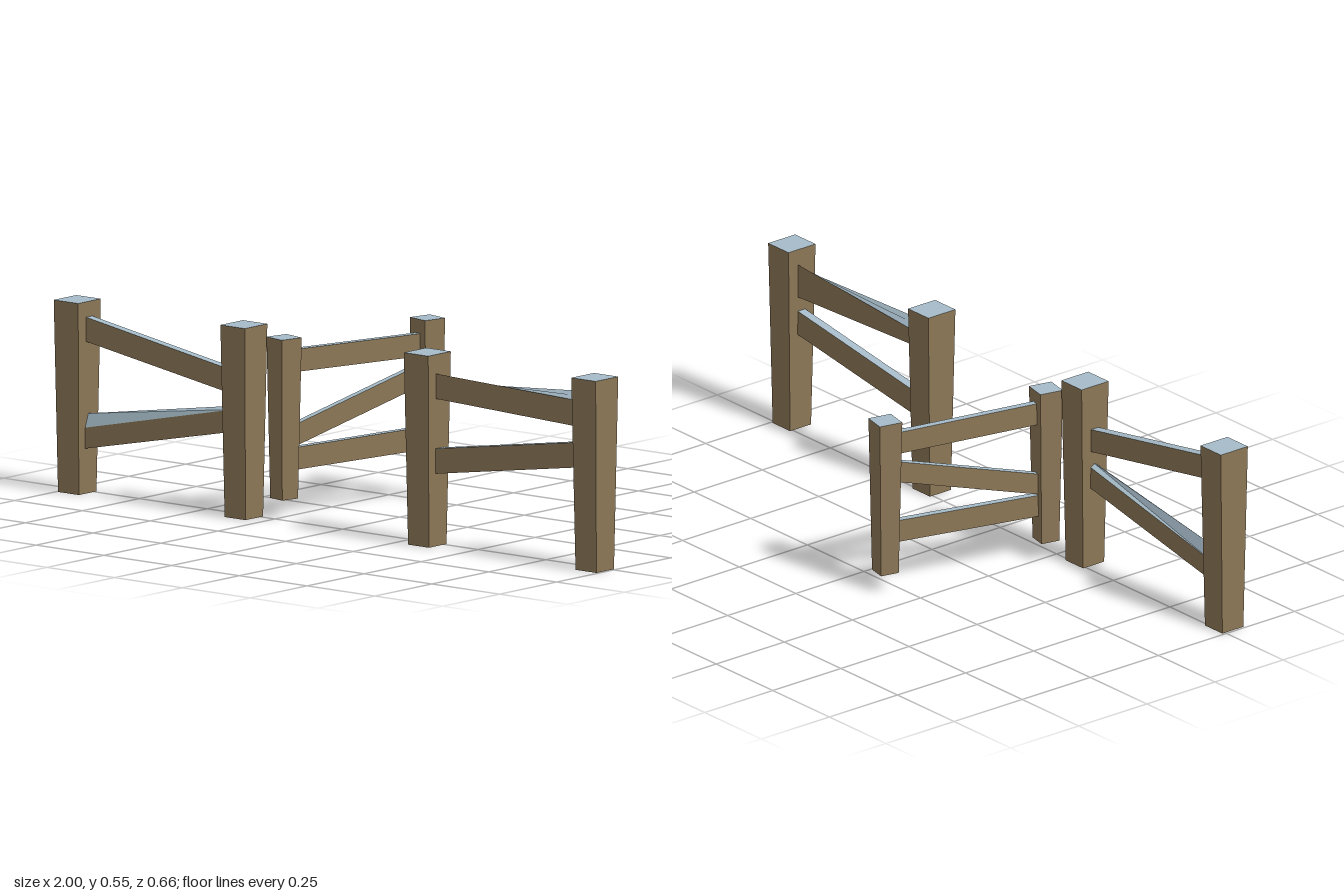
import * as THREE from 'three';

const wood = new THREE.MeshStandardMaterial({ color: 0x8c7757, side: THREE.DoubleSide });
wood.name = 'weathered wood';
const frost = new THREE.MeshStandardMaterial({ color: 0xa6bcc9, side: THREE.DoubleSide });
frost.name = 'pale blue top';

// Mesh from flat quads, grouped by material: 0 wood, 1 pale top
function quadMesh(name, woodQuads, topQuads) {
  const positions = [];
  const geometry = new THREE.BufferGeometry();
  [woodQuads, topQuads].forEach((quads, material) => {
    const start = positions.length / 3;
    for (const [a, b, c, d] of quads) positions.push(...a, ...b, ...c, ...a, ...c, ...d);
    geometry.addGroup(start, positions.length / 3 - start, material);
  });
  geometry.setAttribute('position', new THREE.Float32BufferAttribute(positions, 3));
  geometry.computeVertexNormals();
  const mesh = new THREE.Mesh(geometry, [wood, frost]);
  mesh.name = name;
  return mesh;
}

// Post that widens upward, open underneath
function post(name, x, y0, y1, bottom, topX, topZ) {
  const corners = [[-1, 1], [1, 1], [1, -1], [-1, -1]];
  const low = corners.map(([sx, sz]) => [x + sx * bottom / 2, y0, sz * bottom / 2]);
  const high = corners.map(([sx, sz]) => [x + sx * topX / 2, y1, sz * topZ / 2]);
  const sides = low.map((p, i) => [p, low[(i + 1) % 4], high[(i + 1) % 4], high[i]]);
  return quadMesh(name, sides, [high]);
}

// Rail between two ends {x, low, high}; back shifts the rear top edge, ridge raises a crest
function rail(name, start, end, thickness) {
  const section = ({ x, low, high, back = 0, ridge = 0 }) => [
    [x, low, thickness / 2], [x, low, -thickness / 2],
    [x, high + back, -thickness / 2],
    [x, high + back / 2 + ridge, 0],
    [x, high, thickness / 2],
  ];
  const a = section(start), b = section(end);
  const faces = a.map((p, i) => {
    const j = (i + 1) % 5;
    return [p, a[j], b[j], b[i]];
  });
  const caps = [
    [a[4], a[2], a[1], a[0]], [a[4], a[3], a[2], a[2]],
    [b[0], b[1], b[2], b[4]], [b[4], b[2], b[3], b[3]],
  ];
  return quadMesh(name, [faces[0], faces[1], faces[4], ...caps], [faces[2], faces[3]]);
}

function fence(name, postXs, rails) {
  const group = new THREE.Group();
  group.name = name;
  group.position.z = 0.279;
  postXs.forEach((x) => group.add(post('fencePost', x, 0, 0.552, 0.077, 0.09, 0.099)));
  rails.forEach(([label, start, end]) => group.add(rail(label, start, end, 0.027)));
  return group;
}

export function createModel() {
  const model = new THREE.Group();
  model.name = 'fenceWithGate';

  // Fence on the -x side, with a crested lower rail
  model.add(fence('rightFence', [-0.955, -0.34], [
    ['upperRail', { x: -0.925, low: 0.44, high: 0.51 }, { x: -0.37, low: 0.35, high: 0.418 }],
    ['lowerRail', { x: -0.925, low: 0.128, high: 0.188, ridge: 0.04 },
      { x: -0.37, low: 0.242, high: 0.306, ridge: 0.009 }],
  ]));

  // Fence on the +x side, with a twisted upper rail
  model.add(fence('leftFence', [0.337, 0.955], [
    ['upperRail', { x: 0.37, low: 0.425, high: 0.497, back: -0.03 },
      { x: 0.925, low: 0.405, high: 0.48, back: 0.026 }],
    ['lowerRail', { x: 0.37, low: 0.208, high: 0.28 }, { x: 0.925, low: 0.292, high: 0.364 }],
  ]));

  // Gate standing open, swung towards the back
  const gate = new THREE.Group();
  gate.name = 'gate';
  gate.position.set(-0.247, 0, 0.213);
  gate.rotation.y = Math.atan2(0.498, 0.11);
  const length = Math.hypot(0.498, 0.11);
  [0, length].forEach((x) => gate.add(post('gatePost', x, 0.055, 0.517, 0.056, 0.071, 0.071)));
  [
    ['gateTopRail', 0.415, 0.48, 0.411, 0.476],
    ['gateBrace', 0.2, 0.262, 0.328, 0.39],
    ['gateBottomRail', 0.134, 0.198, 0.142, 0.207],
  ].forEach(([name, low0, high0, low1, high1]) => gate.add(rail(name,
    { x: 0.025, low: low0, high: high0 }, { x: length - 0.025, low: low1, high: high1 }, 0.021)));
  model.add(gate);

  return model;
}
